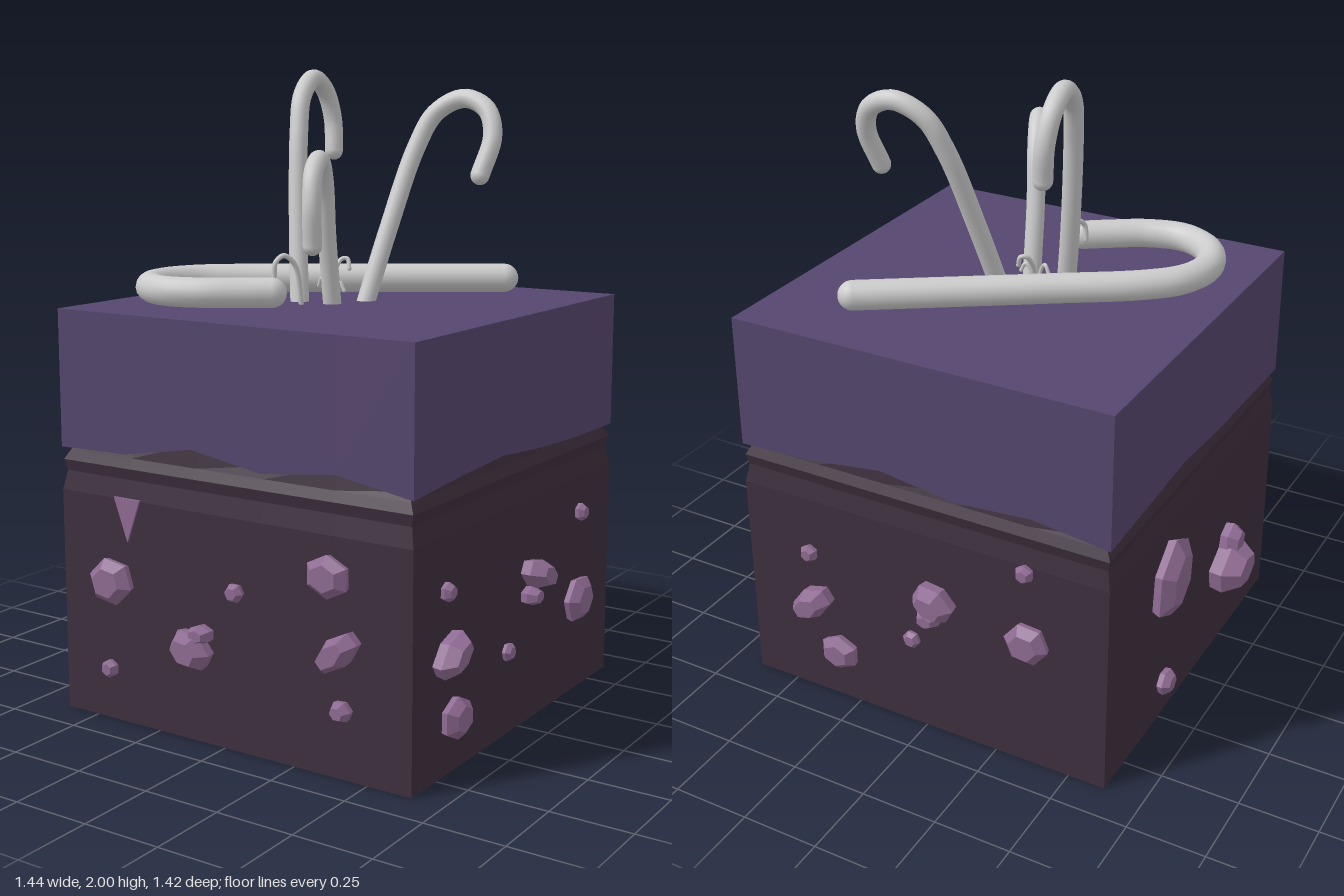
import * as THREE from 'three';

const CX = 0.012, HALF = 0.634; // block centre and half width
const paint = (color, flatShading = true) => new THREE.MeshStandardMaterial({ color, flatShading });
const slabMat = paint(0x55466e), soilMat = paint(0x3d2f3d), crystalMat = paint(0x8f6b93);
const caneMat = paint(0xcccccc, false);

// Height of the slab's lower edge along each side: front, right, back, left
const WAVES = [
  [0.85, 0.855, 0.9, 0.86, 0.89],
  [0.85, 0.868, 0.88, 0.86, 0.85],
  [0.85, 0.86, 0.895, 0.86, 0.88],
  [0.85, 0.865, 0.88, 0.86, 0.855],
];

// Square perimeter point, counter-clockwise from the front left corner
function perimeter(side, t, half) {
  const u = (t * 2 - 1) * half;
  return [[u, half], [half, -u], [-u, -half], [-half, u]][side];
}

// Skin of stacked square rings, bottom to top: [inset, y or function of the wave height]
function ringSkin(name, rings, material) {
  const pos = [], idx = [], n = 20;
  for (const [inset, y] of rings) {
    for (let j = 0; j < n; j++) {
      const side = Math.floor(j / 5), k = j % 5;
      const [x, z] = perimeter(side, k / 5, HALF - inset);
      pos.push(x + CX, typeof y === 'function' ? y(WAVES[side][k]) : y, z);
    }
  }
  for (let i = 0; i < rings.length - 1; i++) {
    for (let j = 0; j < n; j++) {
      const a = i * n + j, b = i * n + (j + 1) % n;
      idx.push(a, b, b + n, a, b + n, a + n);
    }
  }
  const indexed = new THREE.BufferGeometry();
  indexed.setAttribute('position', new THREE.Float32BufferAttribute(pos, 3));
  indexed.setIndex(idx);
  const geo = indexed.toNonIndexed();
  geo.computeVertexNormals();
  const mesh = new THREE.Mesh(geo, material);
  mesh.name = name;
  return mesh;
}

// Bevelled six-sided stone and flat triangular chip, both pointing out along +z
const stoneGeo = new THREE.LatheGeometry(
  [[0.85, -0.4], [1, 0.45], [0.62, 1], [0, 1]].map(p => new THREE.Vector2(...p)), 6).rotateX(Math.PI / 2);
const chipGeo = new THREE.CylinderGeometry(1, 1, 2, 3).rotateX(Math.PI / 2);

// Stones per side: [along, y, width, height, depth, tilt]
const STONES = {
  front: [
    [-0.43, 0.45, 0.17, 0.15, 0.05, 0.3], [0.035, 0.49, 0.065, 0.06, 0.03, 0.5],
    [0.365, 0.595, 0.15, 0.13, 0.045, 0], [-0.115, 0.295, 0.15, 0.11, 0.075, -0.5],
    [-0.085, 0.345, 0.085, 0.06, 0.05, 0], [-0.45, 0.165, 0.06, 0.06, 0.03, 0],
    [0.405, 0.385, 0.17, 0.09, 0.075, 0.75], [0.41, 0.21, 0.07, 0.06, 0.045, -0.4],
  ],
  right: [
    [-0.46, 0.55, 0.06, 0.06, 0.03, 0], [-0.46, 0.37, 0.17, 0.09, 0.07, 0.6],
    [-0.41, 0.165, 0.15, 0.13, 0.045, 0], [0.065, 0.475, 0.15, 0.09, 0.075, -0.5],
    [0.04, 0.41, 0.085, 0.06, 0.05, 0], [-0.085, 0.265, 0.06, 0.06, 0.025, 0.4],
    [0.4, 0.595, 0.06, 0.06, 0.03, 0], [0.385, 0.31, 0.17, 0.15, 0.045, 0.4],
  ],
  back: [
    [-0.4, 0.52, 0.06, 0.06, 0.03, 0], [-0.385, 0.35, 0.16, 0.1, 0.075, 0.6],
    [-0.3, 0.18, 0.14, 0.12, 0.045, 0], [0.065, 0.5, 0.15, 0.1, 0.075, -0.5],
    [0.04, 0.43, 0.085, 0.06, 0.05, 0], [-0.03, 0.32, 0.06, 0.06, 0.025, 0.4],
    [0.365, 0.69, 0.06, 0.06, 0.03, 0], [0.375, 0.45, 0.15, 0.14, 0.045, 0.4],
  ],
  left: [
    [-0.235, 0.53, 0.28, 0.2, 0.06, 1.1], [0.22, 0.31, 0.22, 0.15, 0.1, 0.2],
    [0.25, 0.39, 0.12, 0.1, 0.06, 0.9], [-0.23, 0.13, 0.09, 0.08, 0.04, 0.4],
  ],
};

function stoneSide(side, list, turn) {
  const group = new THREE.Group();
  group.name = side + 'Crystals';
  group.position.x = CX;
  group.rotation.y = turn;
  for (const [u, y, w, h, d, tilt] of list) {
    const stone = new THREE.Mesh(stoneGeo, crystalMat);
    stone.name = 'crystal';
    stone.position.set(u, y, HALF);
    stone.scale.set(w / 2, h / 2, d);
    stone.rotation.z = tilt;
    group.add(stone);
  }
  return group;
}

// Hooked cane: a tube along a smooth path with rounded ends
function cane(name, radius, points) {
  const group = new THREE.Group();
  group.name = name;
  const pts = points.map(p => new THREE.Vector3(...p));
  const curve = new THREE.CatmullRomCurve3(pts, false, 'centripetal');
  group.add(new THREE.Mesh(new THREE.TubeGeometry(curve, 64, radius, 16), caneMat));
  for (const p of [pts[0], pts[pts.length - 1]]) {
    const end = new THREE.Mesh(new THREE.SphereGeometry(radius, 16, 12), caneMat);
    end.position.copy(p);
    group.add(end);
  }
  group.children.forEach((m, i) => { m.name = i ? 'caneEnd' : 'caneShaft'; });
  return group;
}

export function createModel() {
  const model = new THREE.Group();
  model.name = 'groundBlock';

  // Soil with a pinched neck, and the top slab with its wavy lower edge
  model.add(ringSkin('soil', [
    [HALF, 0], [0, 0], [0, 0.71], [0.012, 0.77], [0.004, 0.805],
    [0.02, 0.835], [0.035, w => w + 0.01],
  ], soilMat));
  model.add(ringSkin('topSlab', [
    [0.05, w => w + 0.005], [0, w => w - 0.005], [0, 1.275], [HALF, 1.275],
  ], slabMat));

  // Crystals on all four sides
  const turns = { front: 0, right: Math.PI / 2, back: Math.PI, left: -Math.PI / 2 };
  for (const side in turns) model.add(stoneSide(side, STONES[side], turns[side]));
  const chip = new THREE.Mesh(chipGeo, crystalMat);
  chip.name = 'crystalChip';
  chip.position.set(-0.36, 0.67, HALF);
  chip.scale.set(0.058, 0.09, 0.006);
  chip.rotation.z = Math.PI;
  // Point the chip downwards
  chipGeo.computeBoundingBox();
  if (chipGeo.boundingBox.max.y < 0.9) chip.rotation.z = 0;
  model.add(chip);

  // Large cane lying on the slab
  model.add(cane('lyingCane', 0.046, [
    [0.35, 1.33, -0.425], [0.1, 1.33, -0.26], [-0.15, 1.33, -0.095], [-0.38, 1.33, 0.06],
    [-0.47, 1.33, 0.155], [-0.5, 1.33, 0.28], [-0.45, 1.33, 0.4], [-0.34, 1.33, 0.463],
    [-0.22, 1.33, 0.44], [-0.12, 1.33, 0.38], [-0.04, 1.33, 0.325],
  ]));

  // Three canes planted upright
  model.add(cane('tallCane', 0.03, [
    [-0.105, 1.25, 0.085], [-0.14, 1.5, 0.042], [-0.173, 1.8, -0.012], [-0.19, 1.91, -0.055],
    [-0.205, 1.967, -0.14], [-0.212, 1.93, -0.22], [-0.207, 1.84, -0.257], [-0.198, 1.735, -0.25],
  ]));
  model.add(cane('rightCane', 0.03, [
    [0.055, 1.25, -0.04], [0.09, 1.5, -0.13], [0.135, 1.75, -0.22], [0.185, 1.86, -0.257],
    [0.275, 1.905, -0.278], [0.36, 1.87, -0.272], [0.393, 1.79, -0.25], [0.375, 1.67, -0.205],
  ]));
  model.add(cane('frontCane', 0.029, [
    [0.01, 1.25, 0.07], [0.025, 1.5, 0.125], [0.045, 1.64, 0.165], [0.068, 1.708, 0.215],
    [0.09, 1.727, 0.265], [0.112, 1.69, 0.325], [0.127, 1.6, 0.355], [0.122, 1.48, 0.345],
  ]));

  // Thin sprouts between them
  const sprouts = [
    [0.008, [-0.055, 1.26, 0.145], [-0.06, 1.4, 0.175], [-0.08, 1.43, 0.205], [-0.095, 1.41, 0.228], [-0.1, 1.36, 0.23]],
    [0.007, [-0.04, 1.26, -0.005], [-0.055, 1.36, -0.04], [-0.045, 1.4, -0.065], [-0.03, 1.4, -0.075], [-0.02, 1.37, -0.07]],
    [0.006, [-0.03, 1.26, 0.03], [-0.05, 1.33, 0.028], [-0.065, 1.345, 0.02], [-0.08, 1.32, 0.015]],
    [0.006, [-0.025, 1.26, 0.03], [-0.01, 1.32, 0.025], [0.005, 1.335, 0.022], [0.02, 1.31, 0.02]],
  ];
  for (const [radius, ...points] of sprouts) model.add(cane('sprout', radius, points));
  return model;
}
